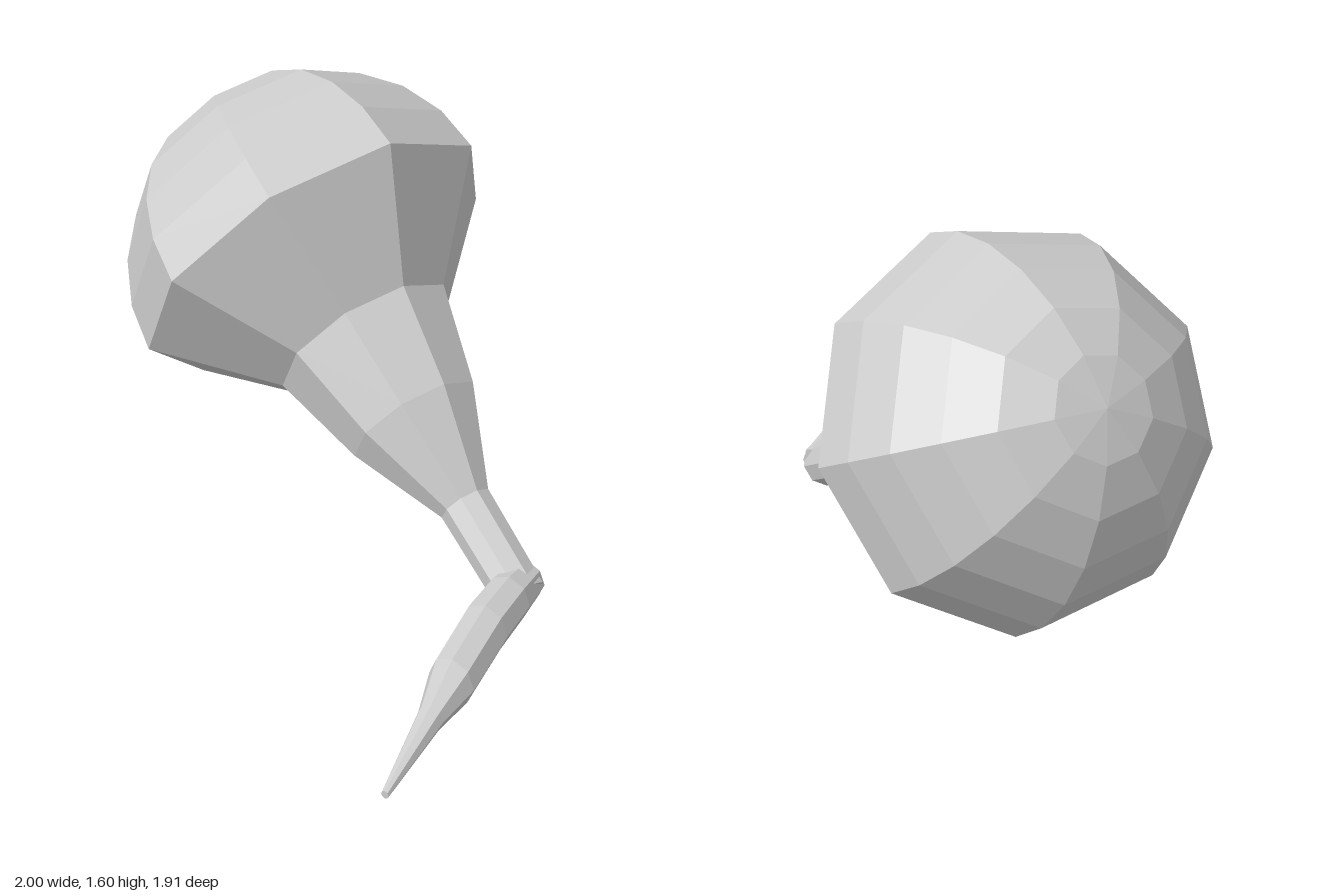
import * as THREE from 'three';

const material = () => new THREE.MeshStandardMaterial({ color: 0xcccccc, flatShading: true });

// Nine-sided bulb with a tapering neck, turned about its own axis
function createBulb() {
  const R = 0.667, rimSteps = 6;
  const profile = [
    [0, -1.41], [0.087, -1.41], [0.093, -1.04], [0.24, -0.7], [0.33, -0.354],
  ].map(([r, t]) => new THREE.Vector2(r, t));
  for (let i = 0; i <= rimSteps; i++) {
    const a = (i / rimSteps) * Math.PI / 2;
    profile.push(new THREE.Vector2(i === rimSteps ? 0 : R * Math.cos(a), R * Math.sin(a)));
  }
  const geometry = new THREE.LatheGeometry(profile, 9);

  // Tilt the axis back and to the left, with one corner of the rim pointing along "corner"
  const up = new THREE.Vector3(0.29, 0.53, -0.795).normalize();
  const corner = new THREE.Vector3(-0.955, 0.213, -0.208);
  const side = new THREE.Vector3().crossVectors(up, corner).normalize();
  corner.crossVectors(side, up);
  geometry.applyMatrix4(new THREE.Matrix4().makeBasis(side, up, corner).setPosition(0.356, 0.937, -0.301));

  const mesh = new THREE.Mesh(geometry, material());
  mesh.name = 'bulbAndNeck';
  return mesh;
}

// Tapering mouthpiece: a cylinder whose rings are moved onto centres and radii
function createStem() {
  const rings = [ // x, y, z, radius
    [0.015, 0.215, 0.8, 0.068],
    [-0.13, 0.225, 0.818, 0.083],
    [-0.3, 0.21, 0.835, 0.087],
    [-0.54, 0.153, 0.866, 0.085],
    [-0.7, 0.117, 0.892, 0.047],
    [-1, 0.02, 0.925, 0.014],
  ];
  const n = rings.length - 1;
  const geometry = new THREE.CylinderGeometry(1, 1, 1, 8, n);
  const p = geometry.attributes.position;
  for (let i = 0; i < p.count; i++) {
    const [x, y, z, r] = rings[Math.round((0.5 - p.getY(i)) * n)];
    p.setXYZ(i, x, y + r * p.getZ(i), z + r * p.getX(i));
  }
  geometry.computeVertexNormals();
  const mesh = new THREE.Mesh(geometry, material());
  mesh.name = 'stem';
  return mesh;
}

export function createModel() {
  const group = new THREE.Group();
  group.name = 'bulbWithBentStem';
  group.add(createBulb(), createStem());
  return group;
}
